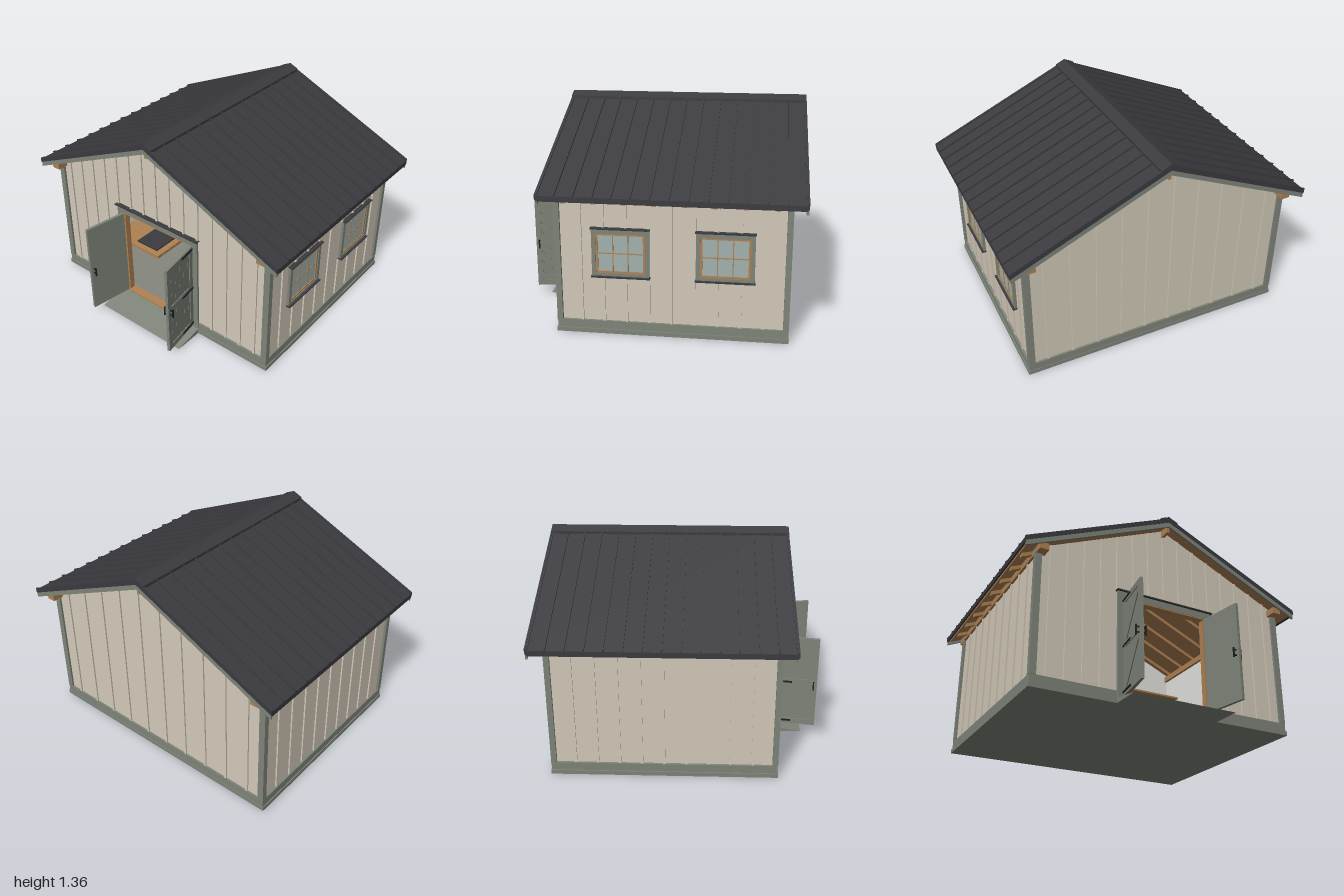
import * as THREE from 'three';

const mat = (name, color) => Object.assign(new THREE.MeshStandardMaterial({ color }), { name });

export function createModel() {
  const M = {
    wall: mat('cream siding', 0xd3cab9),
    trim: mat('grey green trim', 0x7f857a),
    roof: mat('charcoal metal', 0x3b3a3f),
    wood: mat('timber', 0xb08253),
    iron: mat('black iron', 0x1f1f20),
    glass: mat('pale glass', 0xa3b3af),
    lining: mat('white lining', 0xf3f2ee),
    slab: mat('concrete', 0x85877f),
  };
  const model = new THREE.Group();
  model.name = 'shed';

  // Box given by its extents on each axis
  const box = (name, m, x0, x1, y0, y1, z0, z1, parent = model) => {
    const mesh = new THREE.Mesh(new THREE.BoxGeometry(Math.abs(x1 - x0), y1 - y0, z1 - z0), m);
    mesh.position.set((x0 + x1) / 2, (y0 + y1) / 2, (z0 + z1) / 2);
    mesh.name = name;
    parent.add(mesh);
    return mesh;
  };
  // Outline in x and y, extruded from z0 to z1
  const prism = (name, m, pts, z0, z1, hole) => {
    const shape = new THREE.Shape(pts.map(p => new THREE.Vector2(...p)));
    if (hole) shape.holes.push(new THREE.Path(hole.map(p => new THREE.Vector2(...p))));
    const geo = new THREE.ExtrudeGeometry(shape, { depth: z1 - z0, bevelEnabled: false });
    const mesh = new THREE.Mesh(geo, m);
    mesh.position.z = z0;
    mesh.name = name;
    model.add(mesh);
  };
  // Roof height at x, a distance d below the metal
  const roofY = (x, d = 0) => 1.345 - 0.445 * Math.abs(x) - d;
  const slope = (name, m, s, x0, x1, d0, d1, z0, z1) => prism(name, m, [
    [s * x0, roofY(x0, d0)], [s * x1, roofY(x1, d0)],
    [s * x1, roofY(x1, d1)], [s * x0, roofY(x0, d1)]], z0, z1);

  const FRONT = 0.585, BACK = -0.805, SIDE = 0.885;

  // Base, floor and ramp
  box('base', M.trim, -0.907, 0.907, 0, 0.028, -0.82, 0.603);
  box('floor', M.slab, -0.87, 0.87, 0.028, 0.036, -0.79, 0.59);
  const ramp = new THREE.Mesh(new THREE.ExtrudeGeometry(new THREE.Shape([
    new THREE.Vector2(0.6, 0), new THREE.Vector2(0.8, 0), new THREE.Vector2(0.6, 0.035)]),
  { depth: 0.7, bevelEnabled: false }), M.trim);
  ramp.rotation.y = -Math.PI / 2;
  ramp.position.x = 0.35;
  ramp.name = 'ramp';
  model.add(ramp);

  // Gable walls with inner lining
  const gable = w => [[-w, 0.028], [w, 0.028], [w, roofY(w, 0.04)], [0, roofY(0, 0.04)], [-w, roofY(w, 0.04)]];
  const opening = [[-0.3, 0.036], [-0.3, 0.71], [0.3, 0.71], [0.3, 0.036]];
  prism('frontWall', M.wall, gable(SIDE), FRONT - 0.02, FRONT, opening);
  prism('frontLining', M.lining, gable(0.865), FRONT - 0.025, FRONT - 0.02, opening);
  prism('backWall', M.wall, gable(SIDE), BACK, BACK + 0.02);
  prism('backLining', M.lining, gable(0.865), BACK + 0.02, BACK + 0.025);

  // Window bays on the left wall, by centre z
  const windows = [0.198, -0.431];
  for (const s of [-1, 1]) {
    box('sideWall', M.wall, s * 0.865, s * SIDE, 0.028, 0.905, BACK, FRONT);
    box('sideLining', M.lining, s * 0.86, s * 0.865, 0.028, 0.905, BACK + 0.02, FRONT - 0.02);
    // Skirting and corner boards
    box('sideSkirt', M.trim, s * SIDE, s * 0.9, 0.028, 0.08, -0.815, 0.597);
    box('frontSkirt', M.trim, s * 0.35, s * 0.9, 0.028, 0.08, FRONT, 0.598);
    for (const [a, b, c, d] of [[FRONT, 0.6, 0.565, 0.6], [-0.818, BACK, -0.818, -0.783]]) {
      box('cornerBoard', M.trim, s * 0.86, s * 0.9, 0.08, 0.9, a, b);
      box('cornerBoard', M.trim, s * SIDE, s * 0.902, 0.08, 0.9, c, d);
    }
    // Side battens, broken around the windows
    for (let i = 1; i < 10; i++) {
      const z = 0.58 - i * 0.138;
      const spans = s > 0 && windows.some(w => Math.abs(w - z) < 0.185) ? [[0.08, 0.37], [0.685, 0.9]] : [[0.08, 0.9]];
      for (const [a, b] of spans) box('batten', M.wall, s * SIDE, s * 0.895, a, b, z - 0.008, z + 0.008);
    }
  }
  box('backSkirt', M.trim, -0.9, 0.9, 0.028, 0.08, -0.817, BACK);

  // Gable battens
  for (let i = -7; i <= 7; i++) {
    const x = i * 0.114, y0 = Math.abs(x) < 0.355 ? 0.755 : 0.08;
    box('frontBatten', M.wall, x - 0.008, x + 0.008, y0, roofY(x, 0.045), FRONT, FRONT + 0.01);
  }
  for (let i = -5; i <= 4; i++) {
    const x = (i + 0.5) * 0.171;
    box('backBatten', M.wall, x - 0.008, x + 0.008, 0.08, roofY(x, 0.045), BACK - 0.01, BACK);
  }

  // Roof: metal sheets, seams, deck, rafters, rake boards and ridge cap
  for (const s of [-1, 1]) {
    slope('roofSheet', M.roof, s, 0, 1, 0, 0.025, -0.897, 0.68);
    slope('roofDeck', M.wood, s, 0, 0.98, 0.025, 0.04, -0.88, 0.662);
    slope('ridgeCap', M.roof, s, 0, 0.065, -0.018, 0, -0.897, 0.68);
    slope('eaveEdge', M.roof, s, 0.985, 1, 0, 0.034, -0.89, 0.672);
    for (let i = 0; i < 14; i++) {
      const z = 0.564 - i * 0.1122;
      slope('roofSeam', M.roof, s, 0.06, 1, -0.012, 0, z - 0.004, z + 0.004);
    }
    for (const z of [-0.897, 0.663]) {
      slope('sheetHem', M.roof, s, 0.06, 1, -0.008, 0, z, z + 0.017);
      slope('rakeBoard', M.trim, s, 0, 0.995, 0.025, 0.058, z + 0.001, z + 0.015);
    }
    for (let i = 0; i < 8; i++) {
      const z = 0.52 - i * 0.178;
      slope('rafter', M.wood, s, 0, 0.965, 0.04, 0.066, z - 0.014, z + 0.014);
    }
    box('eaveBeam', M.wood, s * 0.84, s * 0.9, 0.862, 0.905, -0.88, 0.66);
  }
  box('ridgeBeam', M.wood, -0.01, 0.01, 1.25, 1.305, -0.88, 0.66);

  // Door frame
  box('doorHead', M.trim, -0.345, 0.345, 0.705, 0.75, FRONT, 0.602);
  box('doorHeadCap', M.roof, -0.355, 0.355, 0.75, 0.757, FRONT, 0.617);
  box('doorLintel', M.wood, -0.3, 0.3, 0.698, 0.71, 0.55, 0.6);
  box('threshold', M.wood, -0.3, 0.3, 0.034, 0.046, 0.54, 0.6);
  for (const s of [-1, 1]) {
    box('doorCasing', M.trim, s * 0.3, s * 0.345, 0.028, 0.705, FRONT, 0.6);
    box('doorJamb', M.wood, s * 0.288, s * 0.3, 0.036, 0.7, 0.55, 0.59);
  }

  // Open doors, built along local z from the hinge, outer face towards s
  for (const s of [-1, 1]) {
    const door = new THREE.Group();
    door.name = s > 0 ? 'leftDoor' : 'rightDoor';
    door.position.set(s * 0.297, 0, 0.6);
    door.rotation.y = s * 0.155;
    model.add(door);
    const part = (name, m, x0, x1, ...r) => box(name, m, s * x0, s * x1, ...r, door);
    for (let i = 0; i < 6; i++) part('doorBoard', M.trim, -0.007, 0.005, 0.052, 0.698, i * 0.0495, i * 0.0495 + 0.048);
    part('doorCore', M.trim, -0.009, 0.002, 0.052, 0.698, 0, 0.295);
    for (const y of [0.052, 0.358, 0.66]) part('doorRail', M.trim, 0.005, 0.011, y, y + 0.038, 0, 0.295);
    for (const z of [0, 0.26]) part('doorStile', M.trim, 0.005, 0.011, 0.052, 0.698, z, z + 0.035);
    for (const y of [0.224, 0.528]) {
      const brace = part('doorBrace', M.trim, 0.005, 0.0105, y - 0.016, y + 0.016, -0.02, 0.32);
      brace.scale.z = 0.98;
      brace.rotation.x = -0.83;
    }
    for (const y of [0.075, 0.372, 0.682]) part('strapHinge', M.iron, 0.011, 0.015, y - 0.006, y + 0.006, -0.005, 0.13);
    for (const x of [-0.03, 0.03]) {
      part('handle', M.iron, x - 0.004, x + 0.004, 0.328, 0.392, 0.268, 0.277);
      for (const y of [0.34, 0.375]) part('handleMount', M.iron, 0, x, y, y + 0.008, 0.269, 0.276);
    }
  }

  // Windows
  for (const z of windows) {
    const g = new THREE.Group();
    g.name = 'window';
    g.position.z = z;
    model.add(g);
    const part = (name, m, ...r) => box(name, m, ...r, g);
    part('glass', M.glass, SIDE, 0.889, 0.4, 0.65, -0.15, 0.15);
    part('headTrim', M.trim, SIDE, 0.902, 0.65, 0.678, -0.175, 0.175);
    part('headCap', M.roof, SIDE, 0.915, 0.678, 0.686, -0.18, 0.18);
    part('sillTrim', M.trim, SIDE, 0.902, 0.38, 0.397, -0.175, 0.175);
    part('sill', M.roof, SIDE, 0.915, 0.371, 0.38, -0.18, 0.18);
    for (const s of [-1, 1]) {
      const a = s * 0.1625, b = s * 0.144;
      part('sideTrim', M.trim, SIDE, 0.902, 0.38, 0.65, a - 0.0125, a + 0.0125);
      part('sash', M.wood, SIDE, 0.896, 0.397, 0.65, b - 0.007, b + 0.007);
      part('muntin', M.wood, SIDE, 0.893, 0.4, 0.645, s * 0.046 - 0.003, s * 0.046 + 0.003);
    }
    for (const y of [0.397, 0.638]) part('sash', M.wood, SIDE, 0.896, y, y + 0.012, -0.15, 0.15);
    part('muntin', M.wood, SIDE, 0.893, 0.52, 0.526, -0.14, 0.14);
  }

  // Shelving and bench along the back wall
  for (const [y, h, depth] of [[0.13, 0.025, 0.3], [0.31, 0.022, 0.3], [0.495, 0.04, 0.36], [0.645, 0.013, 0.2]])
    box('shelf', M.wood, -0.235, 0.84, y, y + h, -0.78, -0.78 + depth);
  for (const x of [-0.17, 0.25, 0.75])
    for (const [z, top] of [[-0.77, 0.72], [-0.5, 0.5]])
      box('shelfPost', M.wood, x - 0.011, x + 0.011, 0.036, top, z, z + 0.022);

  // Low plank platform with a mat along the right wall
  for (let i = 0; i < 14; i++) {
    const z = -0.76 + i * 0.069;
    box('platformPlank', M.wood, -0.855, -0.38, 0.036, 0.06, z, z + 0.065);
  }
  box('mat', M.roof, -0.63, -0.43, 0.06, 0.072, -0.42, 0.16);

  return model;
}
